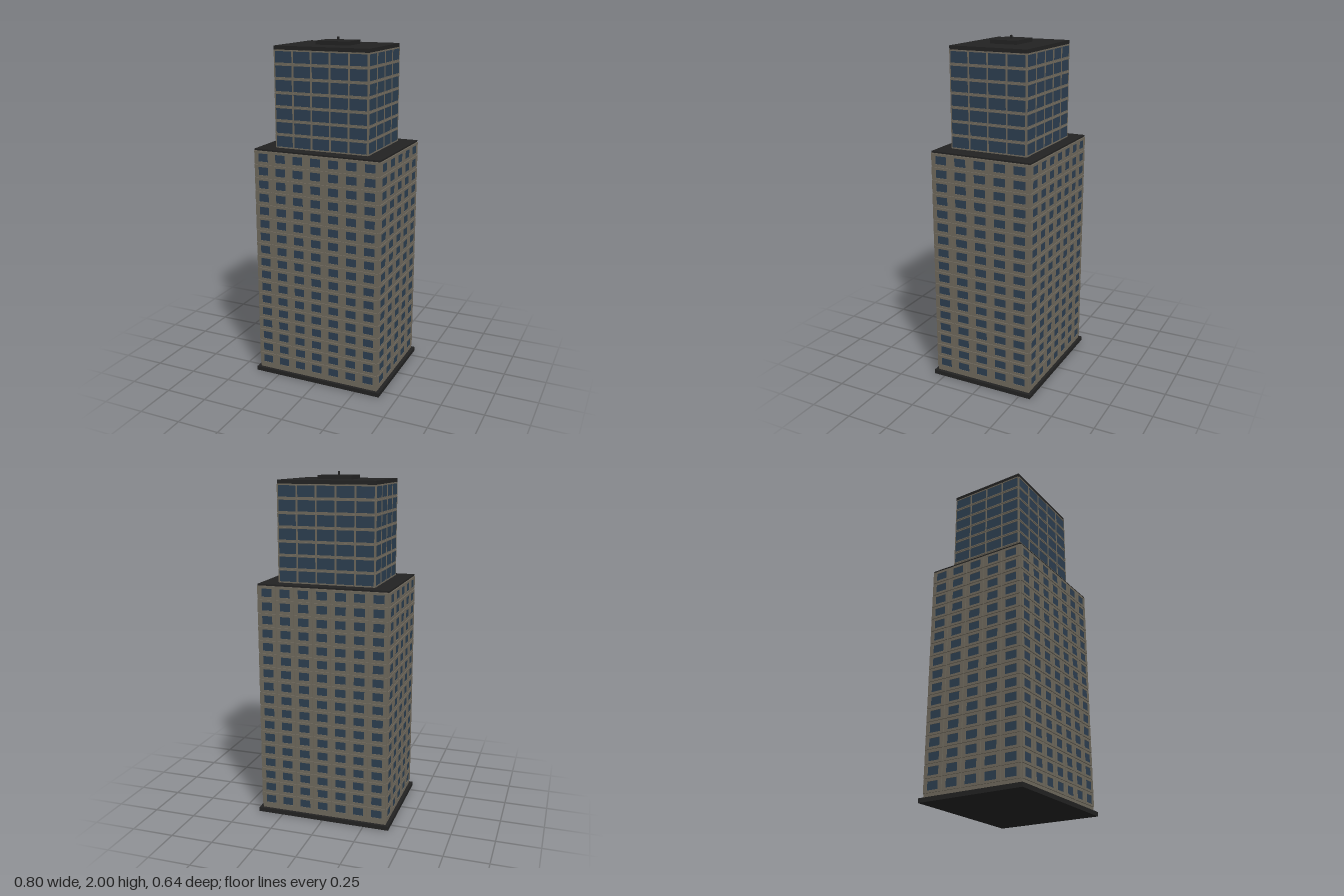
import * as THREE from 'three';
import { mergeGeometries } from 'three/addons/utils/BufferGeometryUtils.js';

const stone = new THREE.MeshStandardMaterial({ color: 0x6e685c });
stone.name = 'stone';
const glass = new THREE.MeshStandardMaterial({ color: 0x2c3e50 });
glass.name = 'glass';
const dark = new THREE.MeshStandardMaterial({ color: 0x222222 });
dark.name = 'darkRoof';

// Box given by half sizes in plan and its bottom and top heights
function block(name, material, hx, hz, y0, y1) {
  const mesh = new THREE.Mesh(new THREE.BoxGeometry(hx * 2, y1 - y0, hz * 2), material);
  mesh.name = name;
  mesh.position.y = (y0 + y1) / 2;
  return mesh;
}

function rectangle(Target, w, h) {
  const r = new Target();
  r.moveTo(-w / 2, -h / 2);
  r.lineTo(w / 2, -h / 2);
  r.lineTo(w / 2, h / 2);
  r.lineTo(-w / 2, h / 2);
  r.closePath();
  return r;
}

// One facade: a grid of framed panels, each with a slightly recessed pane
function facade(name, o) {
  const { width, out, bottom, columns, rows, pitch, paneW, paneH, depth, gap } = o;
  const cell = width / columns;
  const shape = rectangle(THREE.Shape, cell - gap, pitch - gap);
  shape.holes.push(rectangle(THREE.Path, paneW, paneH));
  const frame = new THREE.ExtrudeGeometry(shape, { depth, bevelEnabled: false });
  const pane = new THREE.PlaneGeometry(paneW, paneH);
  const frames = [], panes = [];
  for (let r = 0; r < rows; r++) {
    for (let c = 0; c < columns; c++) {
      const x = (c - (columns - 1) / 2) * cell;
      const y = bottom + (r + 0.5) * pitch;
      frames.push(frame.clone().translate(x, y, out));
      panes.push(pane.clone().translate(x, y, out + depth * 0.5));
    }
  }
  const group = new THREE.Group();
  group.name = name;
  const frameMesh = new THREE.Mesh(mergeGeometries(frames), stone);
  frameMesh.name = 'windowFrames';
  const paneMesh = new THREE.Mesh(mergeGeometries(panes), glass);
  paneMesh.name = 'windowPanes';
  group.add(frameMesh, paneMesh);
  return group;
}

// Four facades around a core of half sizes hx, hz
function clad(parent, prefix, hx, hz, common, front, side) {
  ['Front', 'Left', 'Back', 'Right'].forEach((label, i) => {
    const isSide = i % 2 === 1;
    const f = facade(prefix + label + 'Facade', {
      ...common,
      ...(isSide ? side : front),
      width: 2 * (isSide ? hz : hx),
      out: isSide ? hx : hz,
    });
    f.rotation.y = i * Math.PI / 2;
    parent.add(f);
  });
}

export function createModel() {
  const tower = new THREE.Group();
  tower.name = 'tower';

  tower.add(block('basePlinth', dark, 0.4, 0.32, 0, 0.025));

  // Lower tower
  tower.add(block('lowerCore', stone, 0.38, 0.303, 0.025, 1.38));
  clad(tower, 'lower', 0.38, 0.303,
    { bottom: 0.047, rows: 17, pitch: 0.0784, paneH: 0.047, depth: 0.006, gap: 0.005 },
    { columns: 7, paneW: 0.062 },
    { columns: 5, paneW: 0.071 });
  tower.add(block('lowerRoof', dark, 0.381, 0.304, 1.38, 1.389));

  // Upper tower
  tower.add(block('upperCore', stone, 0.28, 0.23, 1.389, 1.937));
  clad(tower, 'upper', 0.28, 0.23,
    { bottom: 1.389, rows: 7, pitch: 0.0783, paneH: 0.062, depth: 0.005, gap: 0.003 },
    { columns: 5, paneW: 0.102 },
    { columns: 4, paneW: 0.106 });
  tower.add(block('upperRoof', dark, 0.282, 0.232, 1.937, 1.958));

  // Rooftop plant room and mast
  tower.add(block('plantRoom', dark, 0.1, 0.082, 1.958, 1.98));
  tower.add(block('mast', dark, 0.005, 0.005, 1.98, 2));

  return tower;
}
